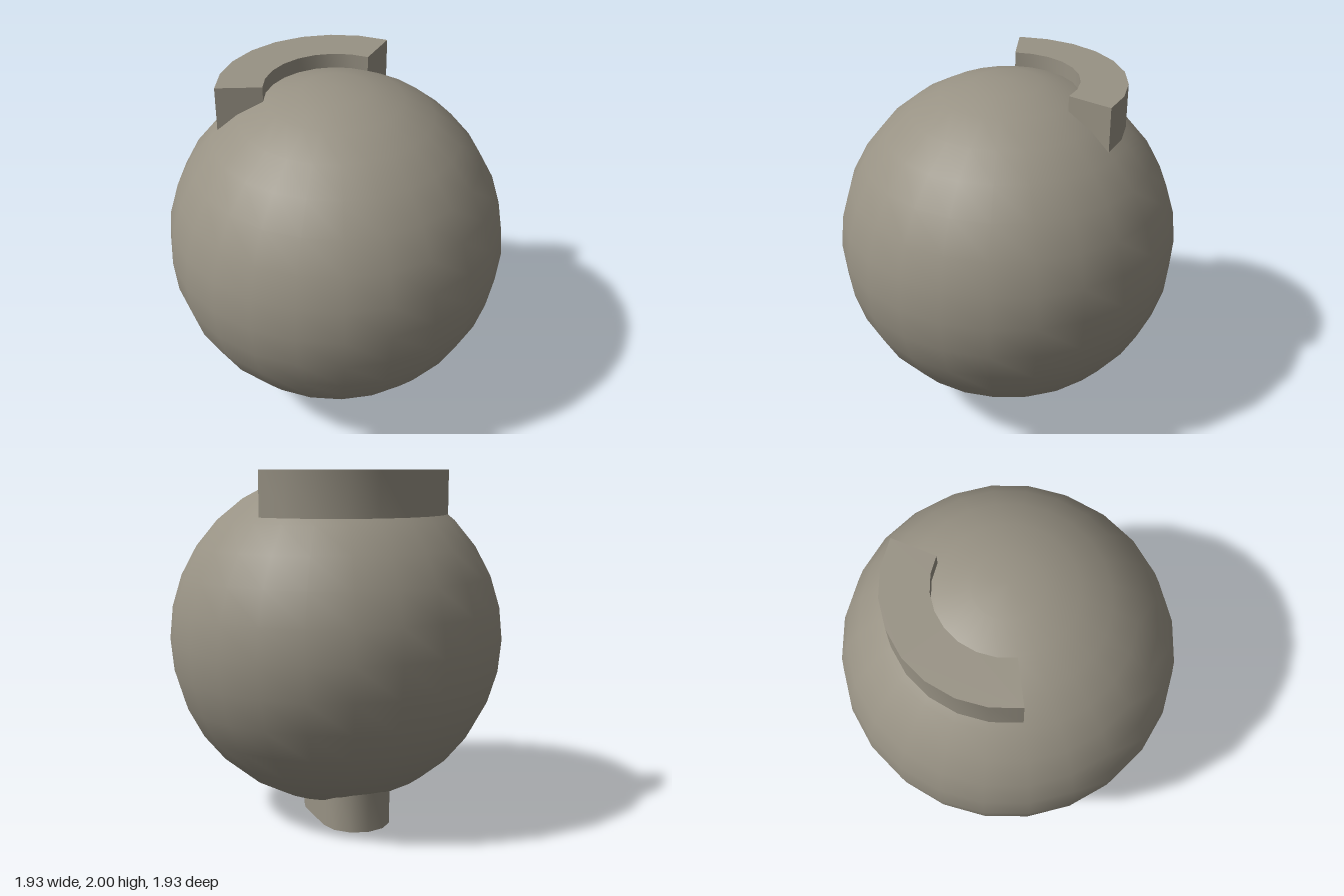
import * as THREE from 'three';
import { toCreasedNormals } from 'three/addons/utils/BufferGeometryUtils.js';

const STEP = Math.PI / 12;

// Point on a circle, angle measured from +x towards the back (-z)
const polar = (r, a, back = 0) => new THREE.Vector2(r * Math.cos(a), back + r * Math.sin(a));

// Upright prism from a plan outline whose second axis points to the back
function prism(points, bottom, top) {
  const geometry = new THREE.ExtrudeGeometry(new THREE.Shape(points), {
    depth: top - bottom, bevelEnabled: false,
  });
  geometry.rotateX(-Math.PI / 2).translate(0, bottom, 0);
  return toCreasedNormals(geometry, 0.6);
}

export function createModel() {
  const group = new THREE.Group();
  const grey = new THREE.MeshStandardMaterial({ color: 0x989284 });
  grey.name = 'warm grey';

  const add = (name, geometry) => {
    const mesh = new THREE.Mesh(geometry, grey);
    mesh.name = name;
    group.add(mesh);
  };

  // Ball
  const ball = new THREE.SphereGeometry(0.965, 24, 16);
  ball.translate(0, 1.035, 0);
  add('ball', ball);

  // Curved ridge: a third of a ring round the back of the crown
  const ring = [];
  for (let i = 2; i <= 10; i++) ring.push(polar(0.645, i * STEP));
  for (let i = 10; i >= 2; i--) ring.push(polar(0.39, i * STEP));
  add('topRidge', prism(ring, 1.75, 2));

  // Foot peg with rounded ends, running from the centre to the back
  const peg = [];
  for (let i = 0; i <= 6; i++) peg.push(polar(0.195, i * 2 * STEP, 0.32));
  for (let i = 6; i <= 12; i++) peg.push(polar(0.195, i * 2 * STEP, 0));
  add('footPeg', prism(peg, 0, 0.3));

  return group;
}
